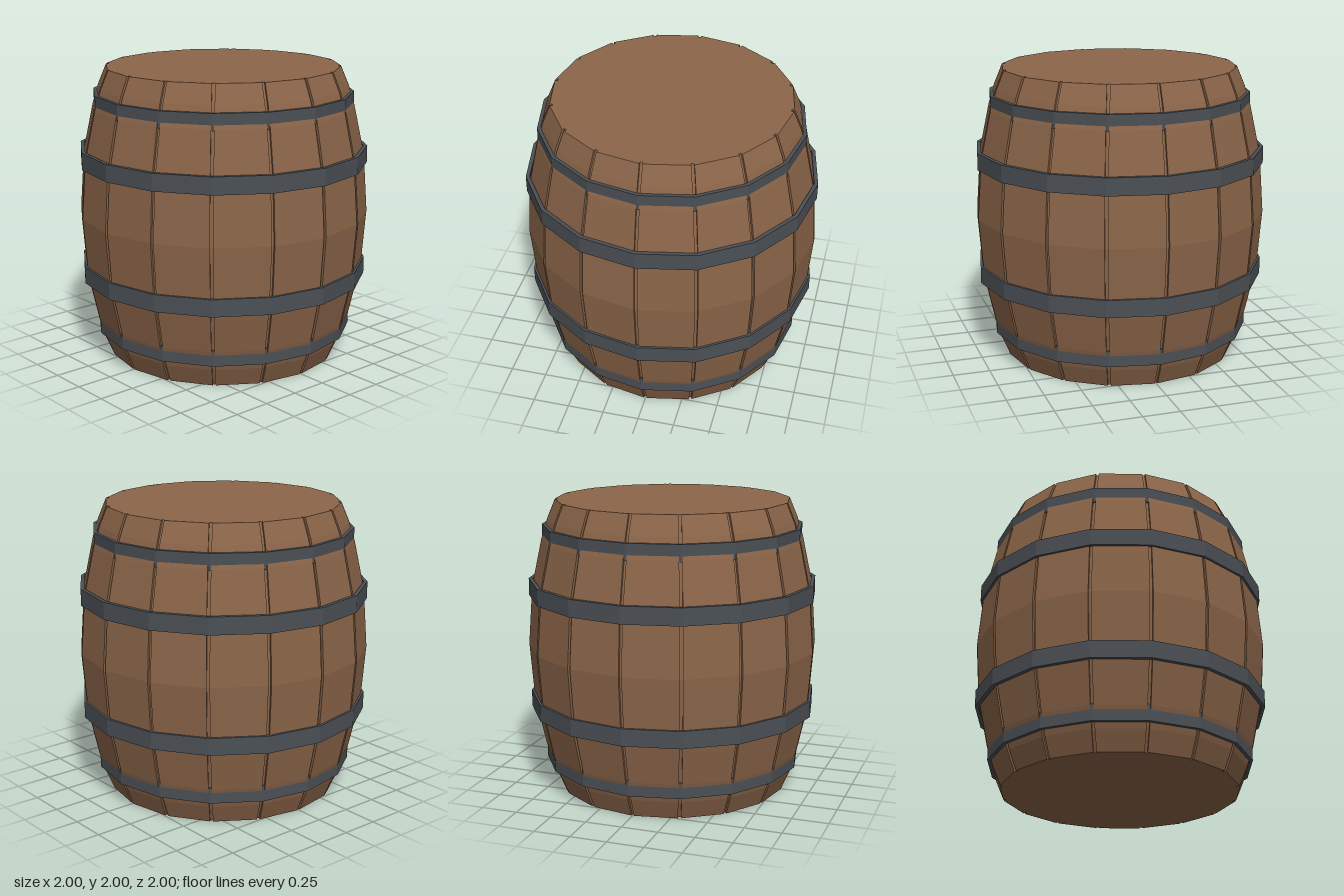
import * as THREE from 'three';

const SIDES = 16;
const GAP = 0.01;    // half width of the groove between staves
const DEPTH = 0.02;  // groove depth

// Flat facets: split shared vertices, then one normal per face
function faceted(geometry) {
  const g = geometry.index ? geometry.toNonIndexed() : geometry;
  g.computeVertexNormals();
  return g;
}

// One horizontal ring of the barrel body, with a notch at every stave joint
function staveRing(r, y) {
  const ring = [];
  for (let i = 0; i < SIDES; i++) {
    const a = (i / SIDES) * Math.PI * 2;
    const outer = r - GAP * Math.tan(Math.PI / SIDES);
    for (const [t, rad] of [[-GAP, outer], [-GAP, r - DEPTH], [GAP, r - DEPTH], [GAP, outer]]) {
      ring.push([Math.sin(a) * rad + Math.cos(a) * t, y, Math.cos(a) * rad - Math.sin(a) * t]);
    }
  }
  return ring;
}

// Loft of the rings, closed by a flat lid and base
function bodyGeometry(profile) {
  const rings = profile.map(([r, y]) => staveRing(r, y));
  const n = rings[0].length;
  const pos = [];
  const tri = (...pts) => pts.forEach((p) => pos.push(...p));
  for (let i = 0; i < n; i++) {
    const k = (i + 1) % n;
    for (let j = 0; j < rings.length - 1; j++) {
      const lo = rings[j], hi = rings[j + 1];
      tri(lo[i], lo[k], hi[k]);
      tri(lo[i], hi[k], hi[i]);
    }
    const top = rings[rings.length - 1];
    tri([0, 2, 0], top[i], top[k]);
    tri([0, 0, 0], rings[0][k], rings[0][i]);
  }
  const g = new THREE.BufferGeometry();
  g.setAttribute('position', new THREE.Float32BufferAttribute(pos, 3));
  return faceted(g);
}

// Straight-walled band with a rectangular section
function hoopGeometry(r, height) {
  const h = height / 2, inner = r - 0.026;
  const section = [[r, -h], [r, h], [inner, h], [inner, -h], [r, -h]];
  return faceted(new THREE.LatheGeometry(section.map(([x, y]) => new THREE.Vector2(x, y)), SIDES));
}

export function createModel() {
  const wood = new THREE.MeshStandardMaterial({ color: 0x8b6549 });
  const iron = new THREE.MeshStandardMaterial({ color: 0x4b5055 });
  const group = new THREE.Group();
  group.name = 'barrel';

  // Bulging staves, mirrored about mid height
  const lower = [[0.8, 0], [0.855, 0.13], [0.898, 0.27], [0.97, 0.6]];
  const upper = lower.map(([r, y]) => [r, 2 - y]).reverse();
  const body = new THREE.Mesh(bodyGeometry([...lower, [1, 1], ...upper]), wood);
  body.name = 'staves';
  group.add(body);

  // Two pairs of iron hoops
  for (const [name, r, y, height] of [['endHoop', 0.89, 0.225, 0.11], ['middleHoop', 0.99, 0.603, 0.117]]) {
    for (const [prefix, level] of [['lower', y], ['upper', 2 - y]]) {
      const hoop = new THREE.Mesh(hoopGeometry(r, height), iron);
      hoop.name = `${prefix} ${name}`;
      hoop.position.y = level;
      group.add(hoop);
    }
  }
  return group;
}
